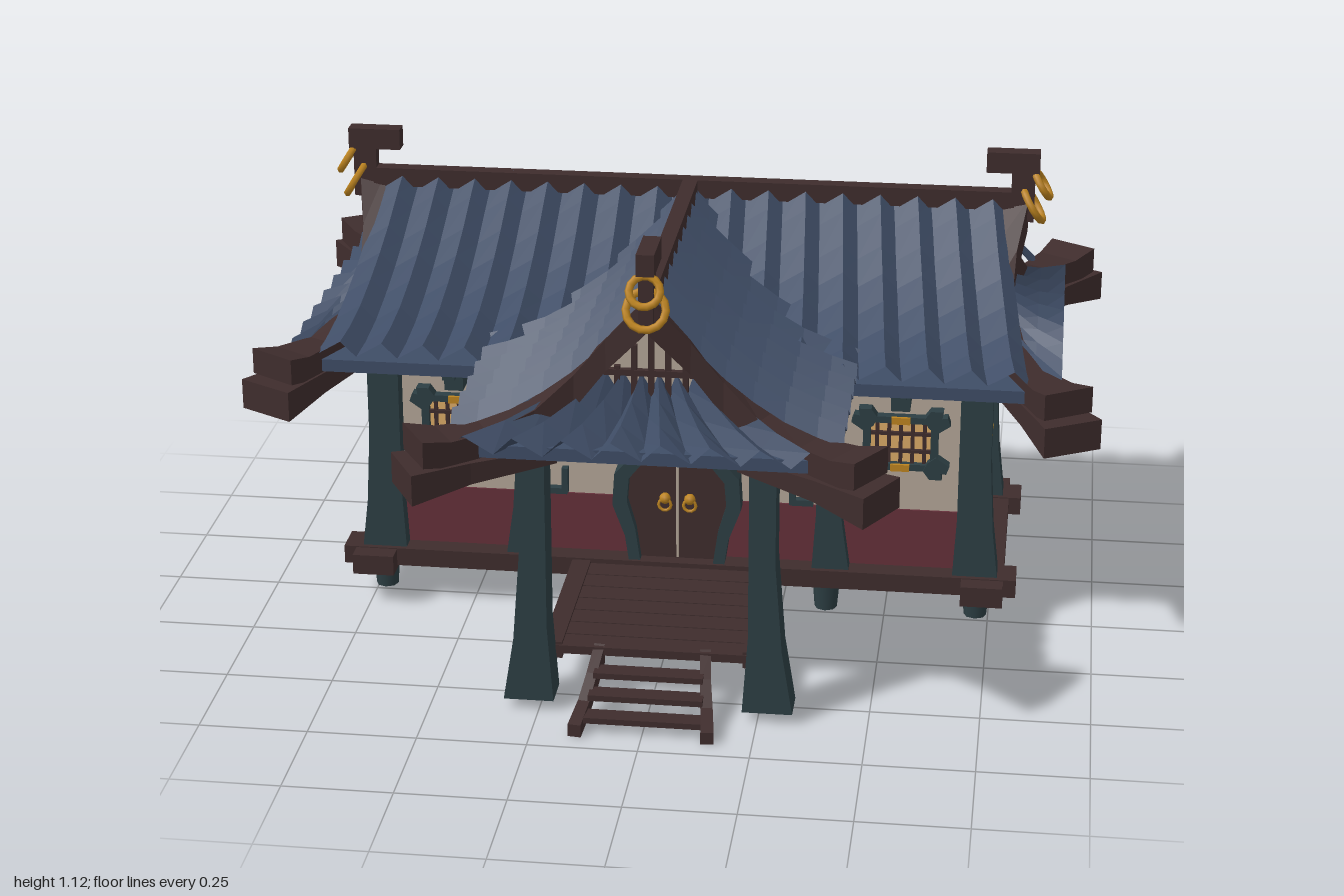
import * as THREE from 'three';

const mat = (name, color, side = THREE.FrontSide) => {
  const m = new THREE.MeshStandardMaterial({ color, side });
  m.name = name;
  return m;
};
const tile = mat('slate blue tile', 0x3f4d66, THREE.DoubleSide);
const wood = mat('dark wood', 0x3f2d2d, THREE.DoubleSide);
const teal = mat('teal timber', 0x2d3f44);
const plaster = mat('plaster', 0xb5a798);
const red = mat('red panel', 0x65303a);
const gold = mat('gold', 0xbd8420);
const glow = mat('window paper', 0xdcab68);

function add(parent, name, geo, material, x = 0, y = 0, z = 0) {
  const m = new THREE.Mesh(geo, material);
  m.name = name;
  m.position.set(x, y, z);
  parent.add(m);
  return m;
}
const box = (p, name, m, w, h, d, x, y, z) => add(p, name, new THREE.BoxGeometry(w, h, d), m, x, y, z);
function group(parent, name, x = 0, y = 0, z = 0, ry = 0) {
  const g = new THREE.Group();
  g.name = name;
  g.position.set(x, y, z);
  g.rotation.y = ry;
  parent.add(g);
  return g;
}
const outline = pts => new THREE.Shape(pts.map(p => new THREE.Vector2(...p)));
const extrude = (shape, depth) => new THREE.ExtrudeGeometry(shape, { depth, bevelEnabled: false });

// Flat-shaded surface through rows of points
function loft(rows, closed = false) {
  const pos = [];
  for (let i = 0; i + 1 < rows.length; i++) {
    const n = rows[i].length;
    for (let j = 0; j < (closed ? n : n - 1); j++) {
      const a = rows[i][j], b = rows[i][(j + 1) % n], c = rows[i + 1][j], d = rows[i + 1][(j + 1) % n];
      pos.push(...a, ...c, ...b, ...b, ...c, ...d);
    }
  }
  if (closed) for (const r of [rows[0], rows[rows.length - 1]]) pos.push(...r[0], ...r[1], ...r[2], ...r[0], ...r[2], ...r[3]);
  const g = new THREE.BufferGeometry();
  g.setAttribute('position', new THREE.Float32BufferAttribute(pos, 3));
  g.computeVertexNormals();
  return g;
}

// Corrugated tile sheet: s runs across the tiles, t from ridge to eave
function tiles(fn, n, rows, amp) {
  const out = [];
  for (let k = 0; k <= rows; k++) {
    const row = [];
    for (let i = 0; i <= 2 * n; i++) {
      const s = Math.min(1, (Math.floor(i / 2) + (i % 2 ? 0.62 : 0)) / n);
      const [x, y, z] = fn(s, k / rows);
      row.push([x, y + (i % 2 ? amp : -amp), z]);
    }
    out.push(row);
  }
  return loft(out);
}

// Rectangular timber along points [x, top y, z, width, height]
function timber(pts) {
  return loft(pts.map(([x, y, z, w, h], i) => {
    const a = pts[Math.max(0, i - 1)], b = pts[Math.min(pts.length - 1, i + 1)];
    const l = Math.hypot(b[0] - a[0], b[2] - a[2]);
    const px = -(b[2] - a[2]) / l * w / 2, pz = (b[0] - a[0]) / l * w / 2;
    return [[x + px, y, z + pz], [x - px, y, z - pz], [x - px, y - h, z - pz], [x + px, y - h, z + pz]];
  }), true);
}

// Concave roof height at distance d from the ridge
const roofCurve = new THREE.SplineCurve([[0, 1], [0.1, 0.9], [0.2, 0.815], [0.32, 0.745], [0.435, 0.71]].map(p => new THREE.Vector2(...p)));

// Gable end, facing local +x
function gable(parent) {
  const g = group(parent, 'gableEnd');
  add(g, 'gablePanel', extrude(outline([[-0.16, 0.72], [0.16, 0.72], [0.08, 0.86], [0, 0.96], [-0.08, 0.86]]), 0.02), plaster, 0.7).rotation.y = Math.PI / 2;
  for (let i = -2; i <= 2; i++) {
    const top = 0.92 - Math.abs(i) * 0.05;
    box(g, 'gableLattice', wood, 0.012, top - 0.74, 0.013, 0.728, (top + 0.74) / 2, i * 0.038);
  }
  box(g, 'gableRail', wood, 0.014, 0.014, 0.24, 0.728, 0.805, 0);
  add(g, 'skirtTiles', tiles((s, t) => [0.715 + 0.185 * t, 0.785 - 0.17 * t + 0.07 * t * t, (s - 0.5) * 2 * (0.15 + 0.285 * t)], 8, 3, 0.02), tile);
  for (const m of [-1, 1]) {
    add(g, 'bargeboard', timber([[0.775, 1.0, 0, 0.06, 0.08], [0.755, 0.9, m * 0.09, 0.055, 0.075], [0.75, 0.81, m * 0.17, 0.055, 0.08],
      [0.78, 0.735, m * 0.26, 0.06, 0.075], [0.83, 0.7, m * 0.36, 0.075, 0.06], [0.88, 0.7, m * 0.44, 0.105, 0.06], [0.917, 0.715, m * 0.5, 0.125, 0.062]]), wood);
    add(g, 'cornerBeam', timber([[0.77, 0.648, m * 0.22, 0.09, 0.035], [0.86, 0.645, m * 0.4, 0.11, 0.05], [0.93, 0.645, m * 0.525, 0.145, 0.072]]), wood);
  }
  // ridge finial with hanging rings
  box(g, 'finialNeck', wood, 0.055, 0.13, 0.032, 0.79, 1.01, 0);
  box(g, 'finialCap', wood, 0.125, 0.05, 0.04, 0.765, 1.09, 0);
  for (const [r, x, y] of [[0.044, 0.815, 0.985], [0.034, 0.835, 1.035]]) {
    const ring = add(g, 'goldRing', new THREE.TorusGeometry(r, 0.009, 6, 14), gold, x, y, 0);
    ring.rotation.set(0, Math.PI / 2, 0);
    ring.rotateX(-0.55);
  }
}

// Roof wing with its ridge along local x, from x0 to the gable at +x
function wing(parent, name, ry, x0, n) {
  const g = group(parent, name, 0, 0, -0.235, ry);
  for (const m of [-1, 1]) {
    add(g, 'roofTiles', tiles((s, t) => {
      const p = roofCurve.getPoint(t), e = 0.75 + 0.08 * t, a = x0 < 0 ? -e : x0;
      return [a + (e - a) * s, p.y, m * p.x];
    }, n, 7, 0.018), tile);
  }
  const end = x0 < 0 ? -0.77 : 0;
  box(g, 'ridgeBeam', wood, 0.77 - end, 0.045, 0.036, (0.77 + end) / 2, 0.995, 0);
  gable(g);
  if (x0 < 0) gable(group(g, 'oppositeGable', 0, 0, 0, Math.PI));
  const sx = x0 < 0 ? -0.88 : 0.3;
  box(g, 'eaveBoard', tile, 0.88 - sx, 0.03, 0.85, (0.88 + sx) / 2, 0.663, 0);
}

// Post straight on its inner side and flaring outward at the foot
function post(parent, s, z, y0, y1, xi, xo, flare, d = 0.07) {
  const h = y1 - y0;
  const pts = [[xi, y1], [xi, y0 + h * 0.3], [xi - flare * 0.3, y0], [xo + flare, y0], [xo + flare * 0.4, y0 + h * 0.25], [xo, y0 + h * 0.6], [xo, y1]];
  add(parent, 'post', extrude(outline(pts.map(([x, y]) => [x * s, y])), d), teal, 0, 0, z - d / 2);
}

// Lattice window facing +z
function latticeWindow(parent, x) {
  const g = group(parent, 'window', x, 0.464, 0);
  box(g, 'windowPaper', glow, 0.16, 0.12, 0.008, 0, 0, 0.005);
  for (let i = -2; i <= 2; i++) box(g, 'windowBar', wood, 0.009, 0.12, 0.01, i * 0.028, 0, 0.012);
  for (const y of [-0.022, 0.022]) box(g, 'windowRail', wood, 0.15, 0.008, 0.01, 0, y, 0.013);
  for (const m of [-1, 1]) {
    box(g, 'frameRail', teal, 0.17, 0.016, 0.024, 0, m * 0.06, 0.014);
    box(g, 'frameStile', teal, 0.018, 0.12, 0.024, m * 0.08, 0, 0.014);
    box(g, 'goldClasp', gold, 0.045, 0.017, 0.008, 0, m * 0.06, 0.028);
    for (const k of [-1, 1]) {
      const horn = [[0.065, 0.045], [0.085, 0.03], [0.117, 0.052], [0.11, 0.072], [0.097, 0.07], [0.1, 0.087], [0.07, 0.087], [0.055, 0.066]];
      add(g, 'frameHorn', extrude(outline(horn.map(p => [p[0] * m, p[1] * k])), 0.03), teal);
    }
  }
}

// Trim on one wall: corner brackets, windows and eave brackets
function wallFace(parent, x, z, ry, half, windows) {
  const g = group(parent, 'wallTrim', x, 0, z, ry);
  for (const m of [-1, 1]) for (const [y, k] of [[0.57, -1], [0.295, 1]]) {
    box(g, 'cornerBracket', teal, 0.055, 0.015, 0.02, m * (half - 0.0275), y, 0.01);
    box(g, 'cornerBracket', teal, 0.015, 0.065, 0.02, m * (half - 0.05), y + k * 0.027, 0.01);
  }
  for (const wx of windows) {
    latticeWindow(g, wx);
    box(g, 'eaveBracket', teal, 0.045, 0.07, 0.07, wx, 0.6, 0.035);
    box(g, 'eaveBracketArm', teal, 0.03, 0.035, 0.13, wx, 0.632, 0.065);
  }
}

function door(parent) {
  const g = group(parent, 'door', 0, 0, 0);
  const mirror = pts => [...pts, ...pts.map(([x, y]) => [-x, y]).reverse()];
  const inner = mirror([[0.088, 0.135], [0.1, 0.22], [0.12, 0.29], [0.115, 0.35], [0.075, 0.4], [0.065, 0.44]]);
  const outer = mirror([[0.115, 0.13], [0.125, 0.2], [0.155, 0.28], [0.15, 0.36], [0.105, 0.41], [0.118, 0.48], [0.075, 0.495], [0.06, 0.465]]);
  const frame = outline(outer);
  frame.holes.push(new THREE.Path(inner.map(p => new THREE.Vector2(...p))));
  add(g, 'doorFrame', extrude(frame, 0.05), teal);
  add(g, 'doorLeaves', extrude(outline(inner), 0.02), wood, 0, 0, 0.005);
  box(g, 'doorGap', plaster, 0.006, 0.3, 0.006, 0, 0.29, 0.026);
  box(g, 'doorCrest', gold, 0.065, 0.02, 0.012, 0, 0.453, 0.05);
  for (const m of [-1, 1]) {
    add(g, 'doorKnob', new THREE.SphereGeometry(0.014, 8, 6), gold, m * 0.03, 0.295, 0.03);
    add(g, 'doorRing', new THREE.TorusGeometry(0.015, 0.004, 5, 10), gold, m * 0.03, 0.28, 0.034);
  }
}

export function createModel() {
  const model = new THREE.Group();
  model.name = 'pavilion';

  // Hall walls and trim
  const hall = group(model, 'hall');
  const cz = -0.2275;
  box(hall, 'upperWall', plaster, 1.42, 0.37, 0.455, 0, 0.455, cz);
  box(hall, 'lowerWall', red, 1.43, 0.16, 0.465, 0, 0.205, cz);
  box(hall, 'wallPlate', wood, 1.45, 0.016, 0.48, 0, 0.6, cz);
  box(hall, 'topBeam', wood, 1.5, 0.025, 0.54, 0, 0.637, cz);
  wallFace(hall, 0, 0, 0, 0.325, [-0.53, 0.53]);
  wallFace(hall, 0, -0.455, Math.PI, 0.325, [-0.53, 0.53]);
  for (const m of [-1, 1]) wallFace(hall, m * 0.71, cz, m * Math.PI / 2, 0.2, [0]);
  door(hall);

  // Floor frame, posts and feet
  box(hall, 'floorUnderside', red, 1.4, 0.03, 0.46, 0, 0.11, cz);
  for (const z of [0.015, -0.47]) {
    box(hall, 'longSill', wood, 1.63, 0.045, 0.085, 0, 0.115, z);
    for (const s of [-1, 1]) {
      post(hall, s, z - 0.005, 0.135, 0.63, 0.67, 0.745, 0.025);
      post(hall, s, z - 0.005, 0.135, 0.63, 0.335, 0.385, 0.03);
      for (const x of [0.72, 0.36]) add(hall, 'foot', new THREE.CylinderGeometry(0.033, 0.027, 0.07, 8), teal, s * x, 0.06, z);
    }
  }
  for (const s of [-1, 1]) box(hall, 'sideSill', wood, 0.1, 0.05, 0.66, s * 0.735, 0.11, cz);

  // Porch deck, posts and beams
  const porch = group(model, 'porch');
  for (let i = 0; i < 7; i++) box(porch, 'deckPlank', wood, 0.46, 0.02, 0.06, 0, 0.117, 0.09 + i * 0.064);
  for (const s of [-1, 1]) {
    box(porch, 'deckEdge', wood, 0.045, 0.04, 0.46, s * 0.23, 0.113, 0.27);
    post(porch, s, 0.5425, 0.025, 0.64, 0.228, 0.288, 0.042, 0.085);
    box(porch, 'porchBeam', wood, 0.05, 0.025, 0.6, s * 0.26, 0.637, 0.28);
  }
  box(porch, 'deckUnderside', red, 0.1, 0.012, 0.47, 0, 0.094, 0.095);
  box(porch, 'frontBeam', wood, 0.72, 0.025, 0.06, 0, 0.637, 0.55);

  // Curved entrance steps
  const steps = group(porch, 'steps');
  for (const s of [-1, 1]) {
    add(steps, 'stringer', timber([[s * 0.122, 0.13, 0.49, 0.025, 0.045], [s * 0.13, 0.09, 0.56, 0.025, 0.04],
      [s * 0.14, 0.05, 0.62, 0.027, 0.035], [s * 0.15, 0.03, 0.7, 0.03, 0.03]]), wood);
  }
  for (let i = 0; i < 3; i++) box(steps, 'tread', wood, 0.27 - i * 0.01, 0.014, 0.045, 0, 0.03 + i * 0.03, 0.655 - i * 0.052);

  // Two crossing roof wings
  wing(model, 'mainRoof', 0, -1, 17);
  wing(model, 'porchRoof', -Math.PI / 2, 0, 9);
  return model;
}
